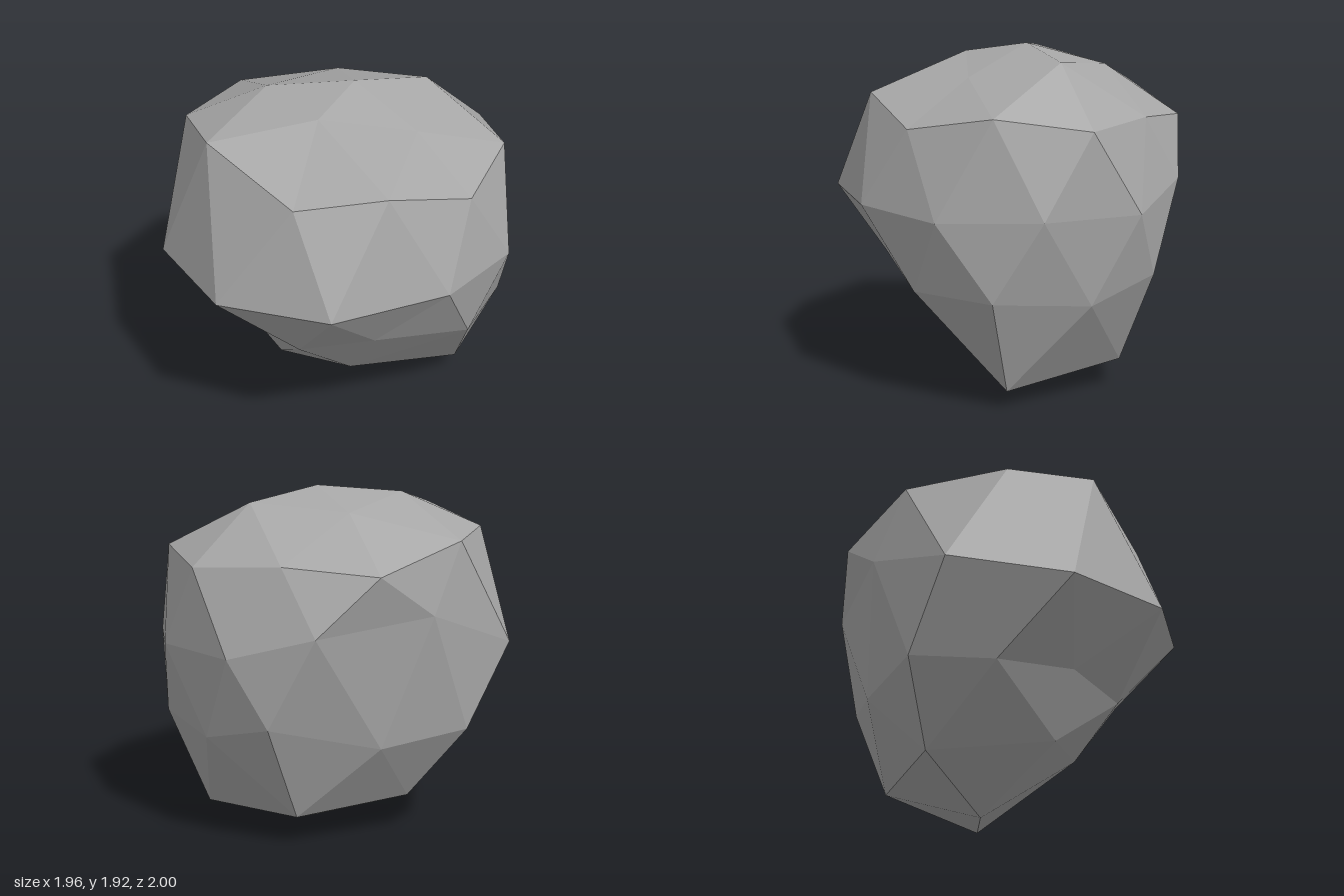
import * as THREE from 'three';

// Low-poly boulder: five rings of corners between a top and a bottom point.
// Each ring runs from +x towards +z around the stone.
const top = [0.04, 1.92, -0.12];
const crown = [[0.48, 1.755, -0.13], [0.14, 1.86, 0.28], [-0.33, 1.88, 0.19], [-0.32, 1.8, -0.38], [0.2, 1.845, -0.55]];
const shoulder = [
  [0.88, 1.51, -0.1], [0.735, 1.655, 0.4], [0.38, 1.59, 0.725], [-0.215, 1.78, 0.75], [-0.695, 1.68, 0.47],
  [-0.847, 1.655, -0.1], [-0.66, 1.51, -0.64], [-0.175, 1.55, -0.82], [0.323, 1.525, -0.91], [0.725, 1.595, -0.595],
];
const waist = [
  [0.98, 1.085, 0.18], [0.7, 1.085, 0.79], [0.07, 1.017, 1], [-0.58, 0.997, 0.804], [-0.98, 1.067, 0.265],
  [-0.81, 1.28, -0.33], [-0.407, 1.2, -0.862], [0.05, 1.075, -1], [0.587, 1.08, -0.825], [0.947, 1.064, -0.395],
];
const flank = [
  [0.884, 0.648, -0.14], [0.658, 0.754, 0.4], [0.284, 0.614, 0.6], [-0.168, 0.66, 0.57], [-0.61, 0.604, 0.35],
  [-0.868, 0.614, -0.03], [-0.59, 0.57, -0.5], [-0.15, 0.706, -0.92], [0.283, 0.6, -0.87], [0.747, 0.642, -0.61],
];
const foot = [[0.37, 0.355, 0.27], [-0.068, 0.317, 0.39], [-0.553, 0.21, -0.126], [-0.164, 0.166, -0.667], [0.545, 0.1, -0.5]];
const bottom = [0.03, 0, -0.15];

const at = (ring, i) => ring[(i + ring.length) % ring.length];

export function createModel() {
  const positions = [];
  const face = (a, b, c) => positions.push(...a, ...b, ...c);

  // Cap facets above the shoulder and below the flank
  for (let k = 0; k < 5; k++) {
    const a = crown[k], a2 = at(crown, k + 1);
    face(top, a2, a);
    face(a, a2, at(shoulder, 2 * k + 1));
    face(a, at(shoulder, 2 * k + 1), at(shoulder, 2 * k));
    face(a, at(shoulder, 2 * k), at(shoulder, 2 * k - 1));

    const e = foot[k], e2 = at(foot, k + 1);
    face(e, e2, bottom);
    face(at(flank, 2 * k + 2), e2, e);
    face(at(flank, 2 * k), at(flank, 2 * k + 1), e);
    face(at(flank, 2 * k + 1), at(flank, 2 * k + 2), e);
  }

  // Two zigzag bands meeting at the waist
  for (let j = 0; j < 10; j++) {
    const c = waist[j], before = at(waist, j - 1);
    face(shoulder[j], at(shoulder, j + 1), c);
    face(shoulder[j], c, before);
    face(before, c, flank[j]);
    face(c, at(flank, j + 1), flank[j]);
  }

  const geometry = new THREE.BufferGeometry();
  geometry.setAttribute('position', new THREE.Float32BufferAttribute(positions, 3));
  geometry.computeVertexNormals();

  const stone = new THREE.MeshStandardMaterial({ color: 0xa6a6a6, flatShading: true });
  stone.name = 'stone grey';

  const boulder = new THREE.Mesh(geometry, stone);
  boulder.name = 'boulder';

  const group = new THREE.Group();
  group.name = 'rock';
  group.add(boulder);
  return group;
}
